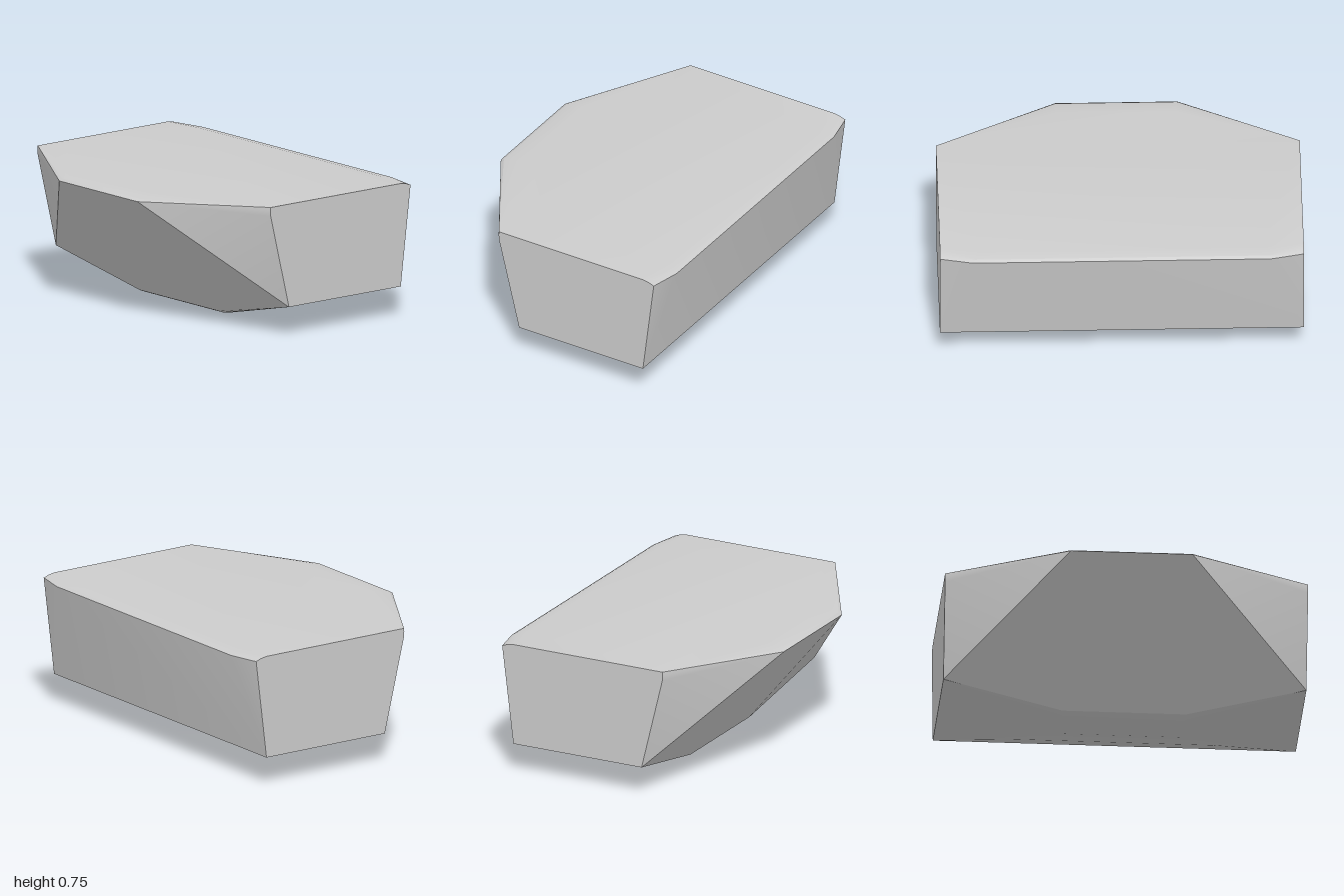
import * as THREE from 'three';
import { ConvexGeometry } from 'three/addons/geometries/ConvexGeometry.js';
import { toCreasedNormals } from 'three/addons/utils/BufferGeometryUtils.js';

// Corner rings as [x, y, z], mirrored front to back
const keel = [
  [-0.14, 0.025, 0.34], [-0.11, 0.013, 0.34], [-0.06, 0.005, 0.34], [0, 0.002, 0.34],
  [0.06, 0.005, 0.34], [0.14, 0.016, 0.34], [0.39, 0.09, 0.54],
];
const chine = [[-0.19, 0.17, 1], [0.61, 0.17, 1]];
const rim = [
  [-0.72, 0.725, 0.335], [-0.70, 0.737, 0.335], [-0.66, 0.745, 0.33], [-0.6, 0.75, 0.32],
  [-0.32, 0.70, 1], [-0.322, 0.73, 1], [-0.32, 0.75, 1],
  [0.61, 0.75, 1], [0.65, 0.743, 1], [0.68, 0.732, 1],
  [0.718, 0.73, 0.82], [0.70, 0.74, 0.81], [0.64, 0.75, 0.78],
];

export function createModel() {
  const group = new THREE.Group();
  group.name = 'facetedBlock';
  const points = [...keel, ...chine, ...rim].flatMap(([x, y, z]) => [
    new THREE.Vector3(x, y, z), new THREE.Vector3(x, y, -z),
  ]);
  // One closed convex body with softened rim and keel
  const geometry = toCreasedNormals(new ConvexGeometry(points), 0.3);
  const body = new THREE.Mesh(geometry, new THREE.MeshStandardMaterial({ color: 0xcccccc }));
  body.name = 'body';
  group.add(body);
  return group;
}
